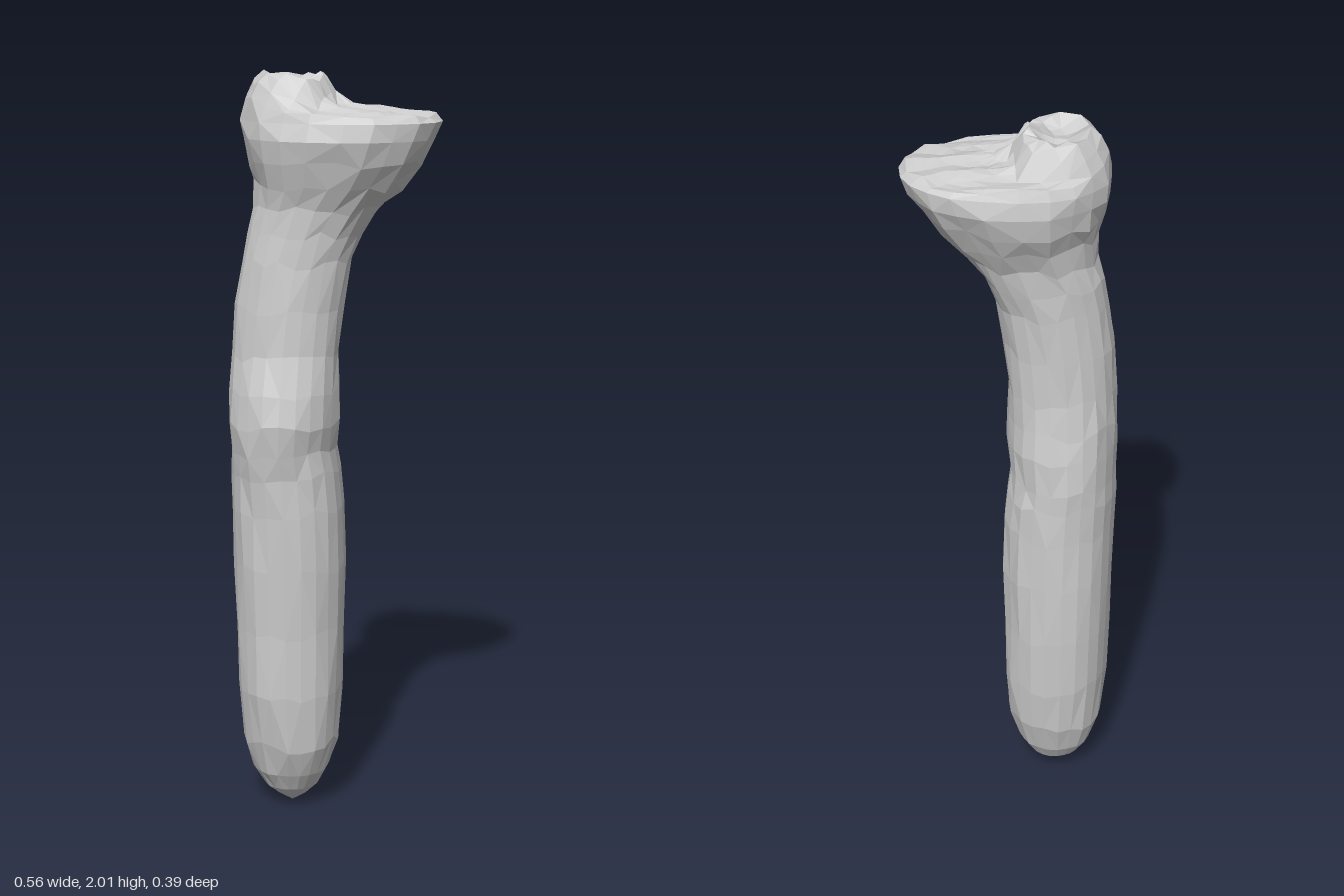
import * as THREE from 'three';

// Cross-sections of the shaft and flared head: [y, xMin, xMax, zMin, zMax]
const SECTIONS = [
  [0.03, -0.16, -0.08, -0.025, 0.045],
  [0.06, -0.195, -0.05, -0.06, 0.08],
  [0.11, -0.225, -0.02, -0.09, 0.11],
  [0.20, -0.25, 0.01, -0.12, 0.14],
  [0.35, -0.265, 0.02, -0.135, 0.16],
  [0.52, -0.268, 0.022, -0.14, 0.163],
  [0.70, -0.272, 0.026, -0.14, 0.168],
  [0.86, -0.275, 0.025, -0.138, 0.172],
  [0.96, -0.275, 0.015, -0.138, 0.175],
  [1.02, -0.275, 0.005, -0.135, 0.185],
  [1.10, -0.277, 0.016, -0.13, 0.195],
  [1.18, -0.275, 0.014, -0.118, 0.18],
  [1.27, -0.27, 0.014, -0.106, 0.152],
  [1.40, -0.262, 0.026, -0.105, 0.145],
  [1.52, -0.245, 0.045, -0.108, 0.135],
  [1.60, -0.23, 0.075, -0.115, 0.13],
  [1.66, -0.215, 0.115, -0.126, 0.133],
  [1.72, -0.213, 0.178, -0.15, 0.15],
  [1.78, -0.228, 0.225, -0.176, 0.172],
  [1.84, -0.24, 0.258, -0.193, 0.182],
  [1.885, -0.248, 0.277, -0.186, 0.172],
];
const SIDES = 22;
const CAP_SCALES = [0.95, 0.87, 0.77, 0.66, 0.54, 0.42, 0.3, 0.17];

// Small repeatable unevenness that gives the hewn surface
function wobble(i, j) {
  const s = Math.sin(i * 12.9898 + (j % SIDES) * 78.233) * 43758.5453;
  return s - Math.floor(s) - 0.5;
}

// Height of the top: sloping grooved ledge at +x, raised dished knob at -x
function topHeight(x, z) {
  const ledge = 1.928 - 0.1 * Math.max(x, 0) - 0.8 * z * z + 0.006 * Math.cos(z * 75);
  const r = Math.hypot((x + 0.115) / 0.95, z / 1.05);
  const knob = 1 - THREE.MathUtils.smoothstep(r, 0.085, 0.145);
  const dish = 1 - THREE.MathUtils.smoothstep(r, 0.02, 0.085);
  return ledge + 0.075 * knob - 0.035 * dish;
}

// Rounded outline point, slightly squarer in the head
function outline([y, x0, x1, z0, z1], angle) {
  const p = y > 1.75 ? 0.9 : 0.96;
  const c = Math.cos(angle), s = Math.sin(angle);
  const cx = (x0 + x1) / 2, cz = (z0 + z1) / 2;
  return [
    cx + Math.sign(c) * Math.abs(c) ** p * (x1 - x0) / 2,
    cz + Math.sign(s) * Math.abs(s) ** p * (z1 - z0) / 2,
  ];
}

function boneGeometry() {
  const pos = [-0.12, 0.005, 0.01];
  const index = [];
  const angleAt = (j) => ((j % SIDES) / SIDES) * Math.PI * 2;

  // Side rings
  SECTIONS.forEach((sec, i) => {
    for (let j = 0; j < SIDES; j++) {
      const [x, z] = outline(sec, angleAt(j));
      const w = 1 + wobble(i, j) * 0.05;
      const cx = (sec[1] + sec[2]) / 2, cz = (sec[3] + sec[4]) / 2;
      const lift = i > 2 && i < SECTIONS.length - 2 ? wobble(j, i + 5) * 0.03 : 0;
      pos.push(cx + (x - cx) * w, sec[0] + lift, cz + (z - cz) * w);
    }
  });

  // Shrinking rings across the top of the head
  const rim = SECTIONS[SECTIONS.length - 1];
  const cx = 0.0, cz = -0.005;
  CAP_SCALES.forEach((k, i) => {
    for (let j = 0; j < SIDES; j++) {
      const [rx, rz] = outline(rim, angleAt(j));
      const x = cx + (rx - cx) * k, z = cz + (rz - cz) * k;
      pos.push(x, topHeight(x, z) + wobble(i + 40, j) * 0.006, z);
    }
  });
  pos.push(cx, topHeight(cx, cz), cz);

  // Faces: bottom tip, walls, top centre
  const rings = SECTIONS.length + CAP_SCALES.length;
  const id = (i, j) => 1 + i * SIDES + (j % SIDES);
  const last = 1 + rings * SIDES;
  for (let j = 0; j < SIDES; j++) {
    index.push(0, id(0, j), id(0, j + 1));
    for (let i = 0; i < rings - 1; i++) {
      const a = id(i, j), b = id(i + 1, j), c = id(i + 1, j + 1), d = id(i, j + 1);
      if ((i + j) % 2) index.push(a, b, d, b, c, d);
      else index.push(a, b, c, a, c, d);
    }
    index.push(id(rings - 1, j), last, id(rings - 1, j + 1));
  }

  const geo = new THREE.BufferGeometry();
  geo.setAttribute('position', new THREE.Float32BufferAttribute(pos, 3));
  geo.setIndex(index);
  geo.computeVertexNormals();
  return geo;
}

export function createModel() {
  const group = new THREE.Group();
  group.name = 'bone';
  const material = new THREE.MeshStandardMaterial({ color: 0xcccccc, flatShading: true });
  const bone = new THREE.Mesh(boneGeometry(), material);
  bone.name = 'shaftAndHead';
  group.add(bone);
  return group;
}
